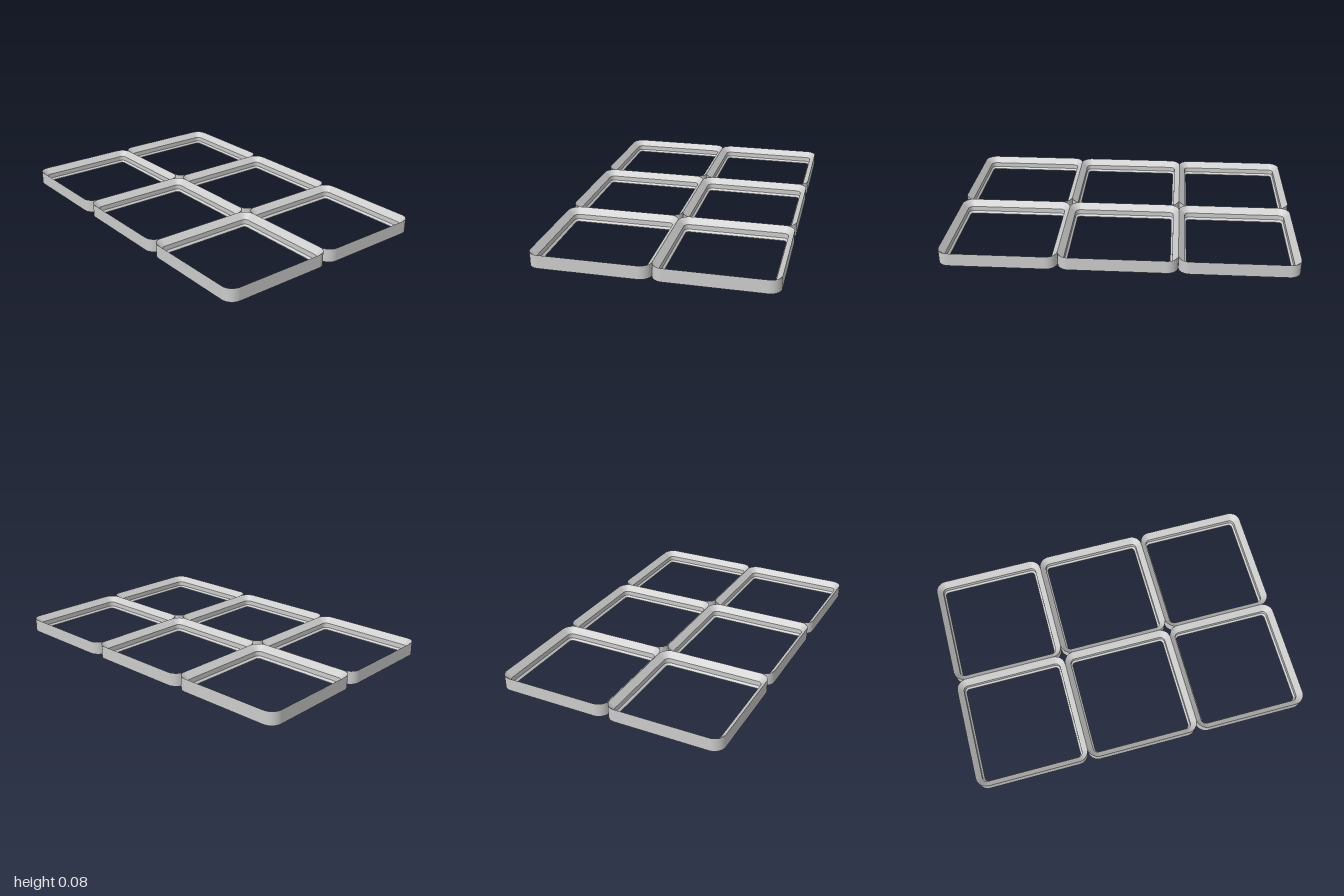
import * as THREE from 'three';

const MM = 2 / 126;          // grid of 42 mm cells, three deep
const CELL = 42 * MM;
const RADIUS = 4 * MM;       // outer corner radius
const HEIGHT = 4.85 * MM;
const ARC = 12;              // segments per corner

// Wall cross-section: [distance outward from the outer face, height]
const profile = [
  [0, 0], [0, HEIGHT],                                     // outer wall up to the sharp rim
  [-2.15 * MM, HEIGHT - 2.15 * MM],                        // upper bevel
  [-2.15 * MM, HEIGHT - 3.95 * MM],                        // upright step
  [-2.85 * MM, HEIGHT - 4.65 * MM], [-2.85 * MM, 0],       // lower bevel and lip
];

// Sweep the cross-section round a square with rounded corners
function frameGeometry() {
  const position = [], normal = [], index = [];
  const offset = CELL / 2 - RADIUS;
  const count = 4 * (ARC + 1);
  profile.forEach((a, p) => {
    const b = profile[(p + 1) % profile.length];
    const len = Math.hypot(b[0] - a[0], b[1] - a[1]);
    const nr = (b[1] - a[1]) / len, ny = (a[0] - b[0]) / len;
    const start = position.length / 3;
    for (let q = 0; q < 4; q++) {
      const mid = (q + 0.5) * Math.PI / 2;
      const cx = Math.sign(Math.cos(mid)) * offset;
      const cz = Math.sign(Math.sin(mid)) * offset;
      for (let s = 0; s <= ARC; s++) {
        const t = (q + s / ARC) * Math.PI / 2;
        const c = Math.cos(t), n = Math.sin(t);
        for (const [r, y] of [a, b]) {
          position.push(cx + (RADIUS + r) * c, y, cz + (RADIUS + r) * n);
          normal.push(nr * c, ny, nr * n);
        }
      }
    }
    for (let i = 0; i < count; i++) {
      const k = start + 2 * i, m = start + 2 * ((i + 1) % count);
      index.push(k, k + 1, m, k + 1, m + 1, m);
    }
  });
  const geometry = new THREE.BufferGeometry();
  geometry.setAttribute('position', new THREE.Float32BufferAttribute(position, 3));
  geometry.setAttribute('normal', new THREE.Float32BufferAttribute(normal, 3));
  geometry.setIndex(index);
  return geometry;
}

export function createModel() {
  const model = new THREE.Group();
  model.name = 'gridBaseplate';
  const material = new THREE.MeshStandardMaterial({ color: 0xcccccc });
  const geometry = frameGeometry();

  // Two columns by three rows of touching frames
  for (let col = 0; col < 2; col++) {
    for (let row = 0; row < 3; row++) {
      const frame = new THREE.Mesh(geometry, material);
      frame.name = `cellFrame_${col + 1}_${row + 1}`;
      frame.position.set((col - 0.5) * CELL, 0, (row - 1) * CELL);
      model.add(frame);
    }
  }
  return model;
}
